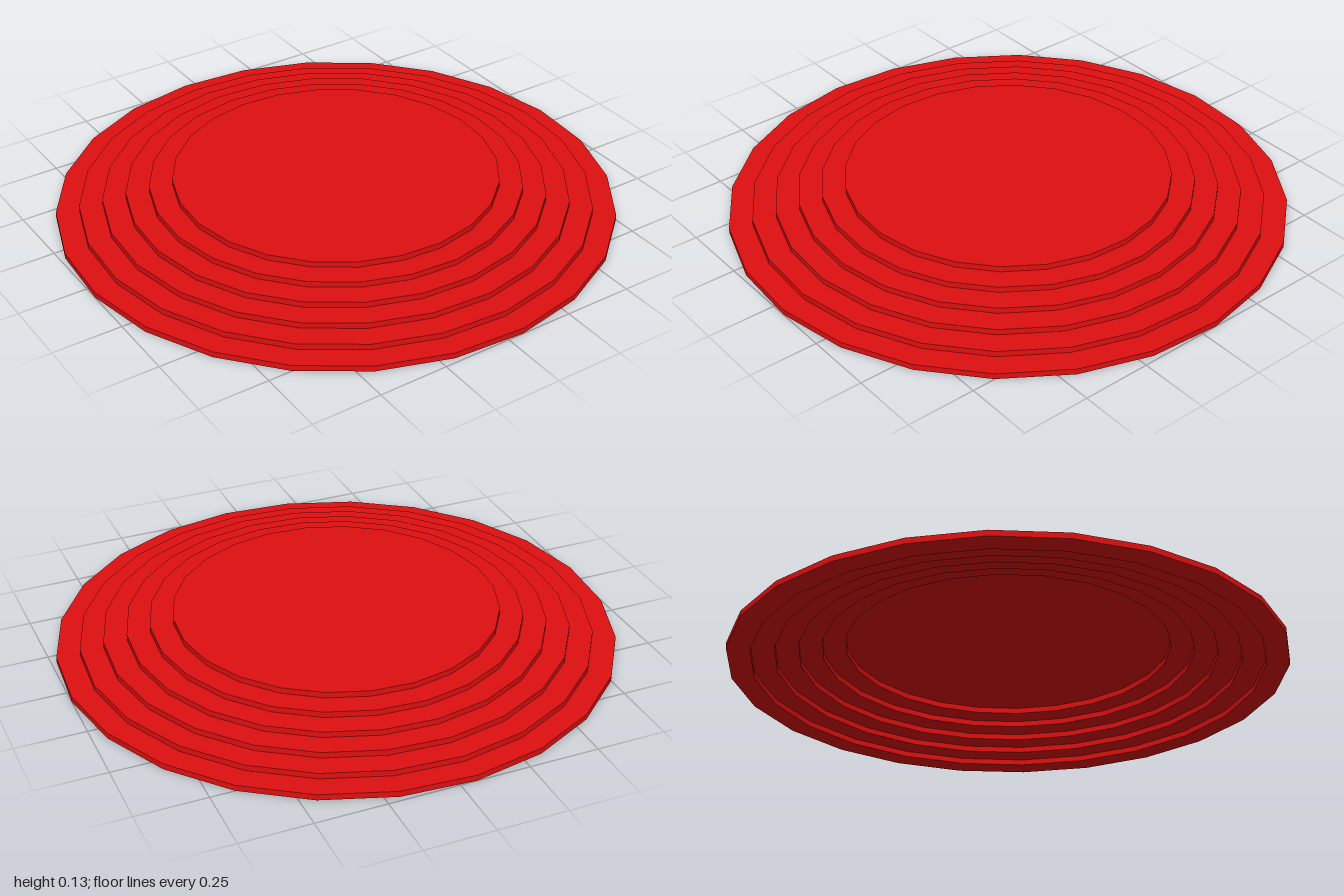
import * as THREE from 'three';
import { toCreasedNormals } from 'three/addons/utils/BufferGeometryUtils.js';

const SIDES = 24;
const STEPS = 6;
const STEP_HEIGHT = 0.0212;
const TURN = THREE.MathUtils.degToRad(3.4);

// Outer radius of each step, shrinking by a twelfth per level
const radius = (level) => 1.0015 * (1 - level / 12);

// Flat ring with a rectangular section, standing on y = 0
function ringGeometry(inner, outer, height) {
  const section = [[inner, 0], [outer, 0], [outer, height], [inner, height], [inner, 0]];
  const points = section.map(([x, y]) => new THREE.Vector2(x, y));
  return toCreasedNormals(new THREE.LatheGeometry(points, SIDES, TURN), Math.PI / 6);
}

export function createModel() {
  const model = new THREE.Group();
  model.name = 'steppedDisc';
  const red = new THREE.MeshStandardMaterial({ color: 0xe01010 });

  // Rings climbing inward, hollow underneath
  for (let i = 0; i < STEPS - 1; i++) {
    const ring = new THREE.Mesh(ringGeometry(radius(i + 1), radius(i), STEP_HEIGHT), red);
    ring.name = `stepRing${i + 1}`;
    ring.position.y = i * STEP_HEIGHT;
    model.add(ring);
  }

  // Solid disc closing the top
  const r = radius(STEPS - 1);
  const disc = new THREE.Mesh(
    new THREE.CylinderGeometry(r, r, STEP_HEIGHT, SIDES, 1, false, TURN), red);
  disc.name = 'topDisc';
  disc.position.y = (STEPS - 0.5) * STEP_HEIGHT;
  model.add(disc);

  return model;
}
